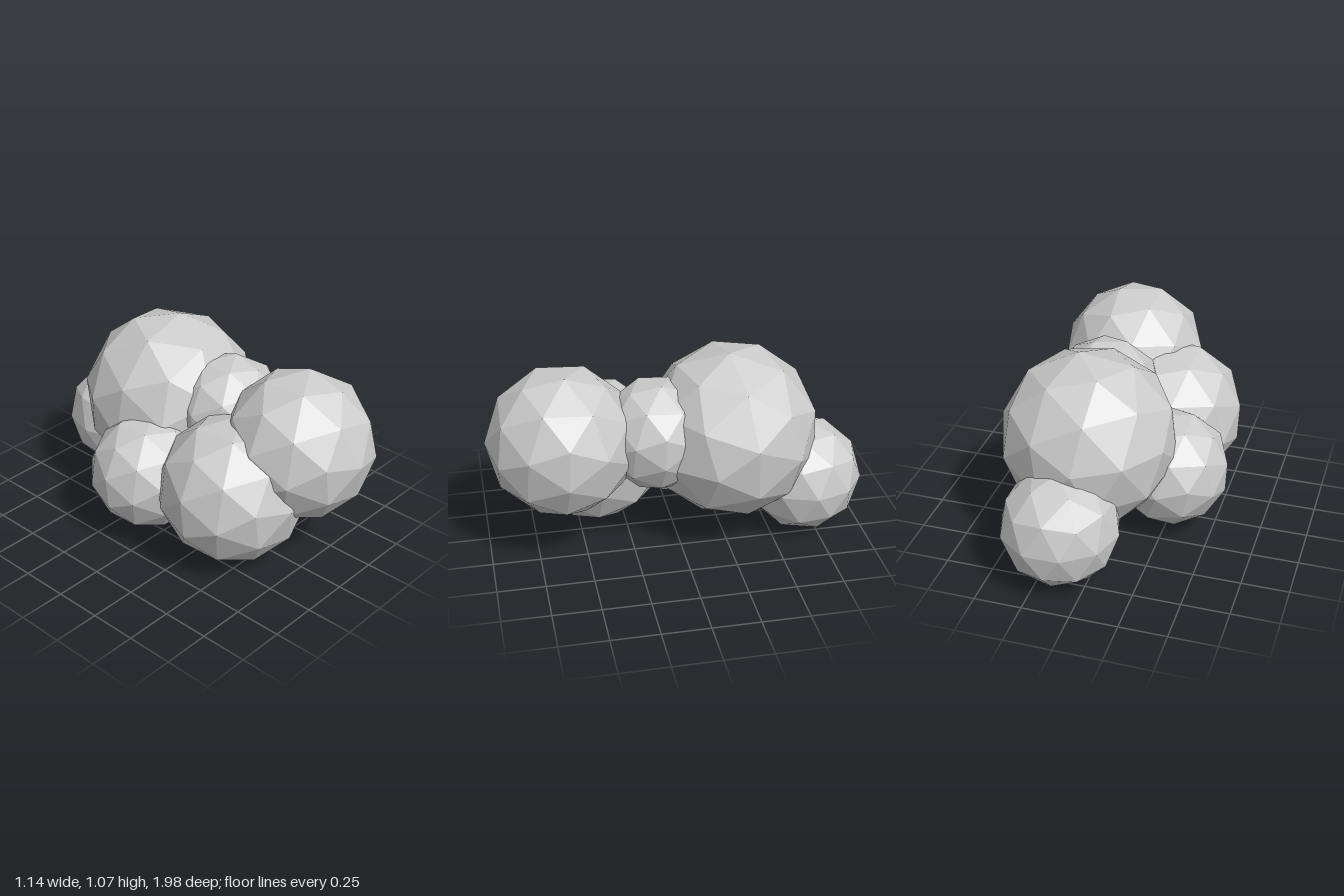
import * as THREE from 'three';

const material = new THREE.MeshStandardMaterial({ color: 0xcccccc, flatShading: true });

// Faceted ball, turned so that one long-edge midpoint points along `facing`
// and that edge runs along `edge`.
function puff(name, radius, position, facing, edge) {
  const z = new THREE.Vector3(...facing).normalize();
  const x = new THREE.Vector3(...edge).cross(z).normalize();
  const y = z.clone().cross(x);
  const mesh = new THREE.Mesh(new THREE.IcosahedronGeometry(radius, 1), material);
  mesh.name = name;
  mesh.position.set(...position);
  mesh.quaternion.setFromRotationMatrix(new THREE.Matrix4().makeBasis(x, y, z));
  return mesh;
}

export function createModel() {
  const group = new THREE.Group();
  group.name = 'cloud';

  // Orientation shared by most of the puffs
  const facing = [-0.015, 0.05, 1];
  const edge = [0.974, -0.225, 0];

  group.add(
    // Upper row, front to back
    puff('frontPuff', 0.395, [0.13, 0.63, 0.60], facing, edge),
    puff('middlePuff', 0.3, [0.15, 0.635, 0.11], facing, edge),
    puff('largePuff', 0.465, [0.115, 0.60, -0.29], [0.129, 0.99, 0.06], [0.31, -0.06, 0.4]),
    // Lower row along the right side
    puff('lowerFrontPuff', 0.39, [-0.15, 0.41, 0.40], facing, edge),
    puff('lowerSidePuff', 0.31, [-0.27, 0.36, -0.09], facing, edge),
    // Low puff at the back
    puff('backPuff', 0.31, [0.145, 0.305, -0.69], [1, 0, 0], [0, -0.854, -0.52]),
  );
  return group;
}
